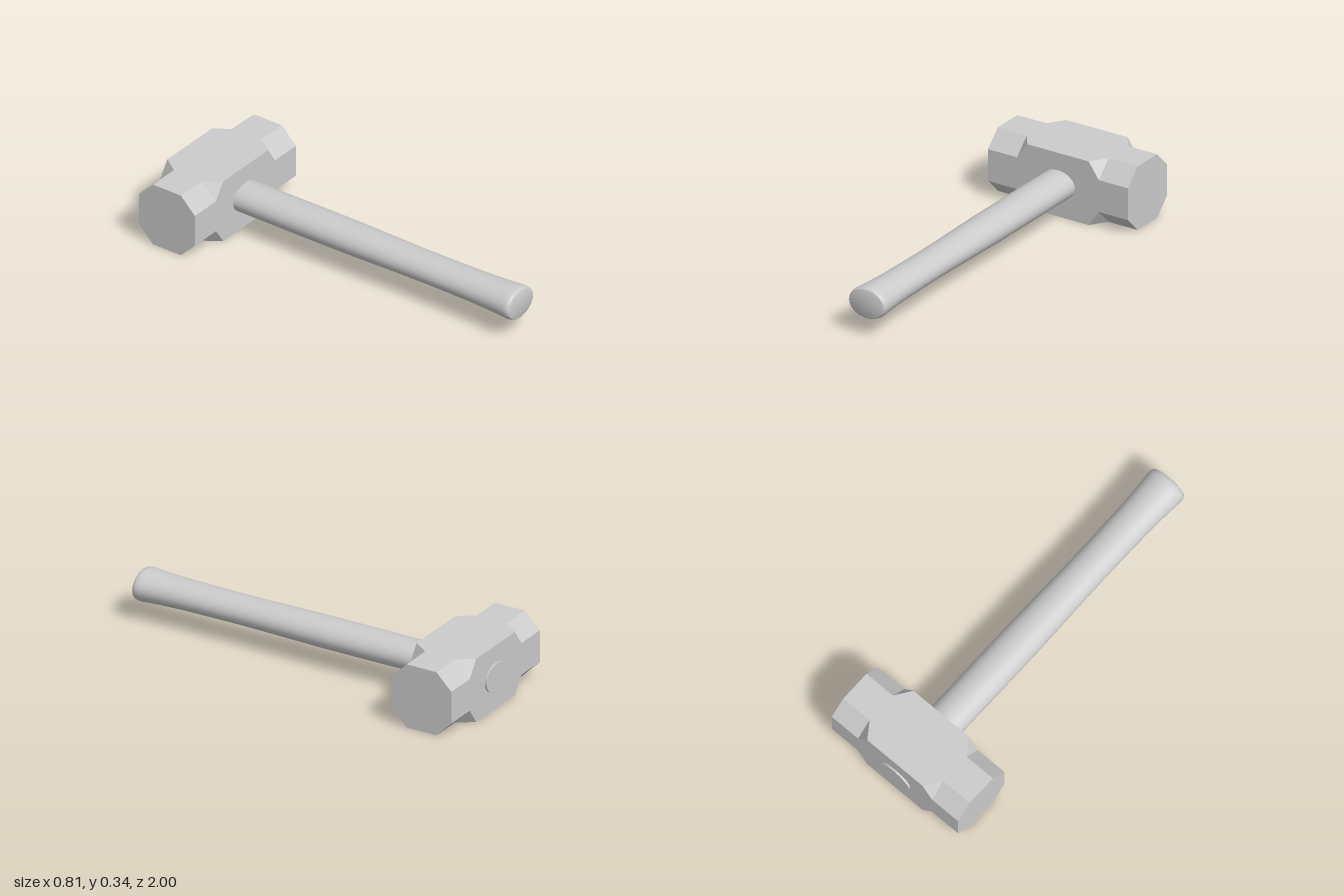
import * as THREE from 'three';
import { toCreasedNormals } from 'three/addons/utils/BufferGeometryUtils.js';

const CENTRE_Y = 0.168;
const HEAD_Z = -0.822;
const HALF = 0.168; // half the height and depth of the head
const CUT = 0.084; // size of the corner chamfers

// Twelve-point ring: each corner has a point on either side face and one between.
function headRing(x, chamfered) {
  const flat = HALF - CUT;
  const tip = chamfered ? HALF - CUT / 2 : HALF;
  const ring = [];
  for (let k = 0; k < 4; k++) {
    for (const [y, z] of [[HALF, flat], [tip, tip], [flat, HALF]]) {
      const p = new THREE.Vector3(x, y, z);
      ring.push(p.applyAxisAngle(new THREE.Vector3(1, 0, 0), (k * Math.PI) / 2));
    }
  }
  return ring;
}

function headGeometry() {
  const sections = [[-0.404, true], [-0.236, true], [-0.177, false], [0.177, false], [0.236, true], [0.404, true]];
  const rings = sections.map(([x, c]) => headRing(x, c));
  const pos = [];
  const tri = (...pts) => pts.forEach((p) => pos.push(p.x, p.y, p.z));
  for (let s = 0; s < rings.length - 1; s++) {
    for (let i = 0; i < 12; i++) {
      const j = (i + 1) % 12;
      const a = rings[s][i], b = rings[s][j], c = rings[s + 1][j], d = rings[s + 1][i];
      // The diagonal runs from the sharp corner to the chamfer's edge.
      if ((i % 3 === 0) === sections[s][1]) {
        tri(a, b, c);
        tri(a, c, d);
      } else {
        tri(a, b, d);
        tri(b, c, d);
      }
    }
  }
  // Flat striking faces
  const first = rings[0], last = rings[rings.length - 1];
  for (let i = 1; i < 11; i++) {
    tri(first[0], first[i + 1], first[i]);
    tri(last[0], last[i], last[i + 1]);
  }
  const g = new THREE.BufferGeometry();
  g.setAttribute('position', new THREE.Float32BufferAttribute(pos, 3));
  g.computeVertexNormals();
  return g;
}

// Oval handle: a turned profile of [half width, z], flattened in height.
function handleGeometry() {
  const profile = [
    [0, -1], [0.098, -1], [0.098, -0.6], [0.099, -0.3], [0.099, -0.05], [0.096, 0.15],
    [0.093, 0.32], [0.092, 0.45], [0.093, 0.6], [0.095, 0.75], [0.099, 0.85], [0.104, 0.93],
    [0.107, 0.965], [0.107, 0.98], [0.104, 0.991], [0.1, 0.998], [0.095, 1], [0, 1],
  ].map(([r, z]) => new THREE.Vector2(r, z));
  const g = new THREE.LatheGeometry(profile, 32);
  g.rotateX(Math.PI / 2);
  g.scale(1, 0.755, 1);
  return toCreasedNormals(g, 0.7);
}

export function createModel() {
  const group = new THREE.Group();
  group.name = 'sledgehammer';

  const head = new THREE.Mesh(
    headGeometry(),
    new THREE.MeshStandardMaterial({ color: 0xcccccc, flatShading: true })
  );
  head.name = 'head';
  head.position.set(0, CENTRE_Y, HEAD_Z);

  const handle = new THREE.Mesh(handleGeometry(), new THREE.MeshStandardMaterial({ color: 0xcccccc }));
  handle.name = 'handle';
  handle.position.y = CENTRE_Y + 0.002;

  group.add(head, handle);
  return group;
}
